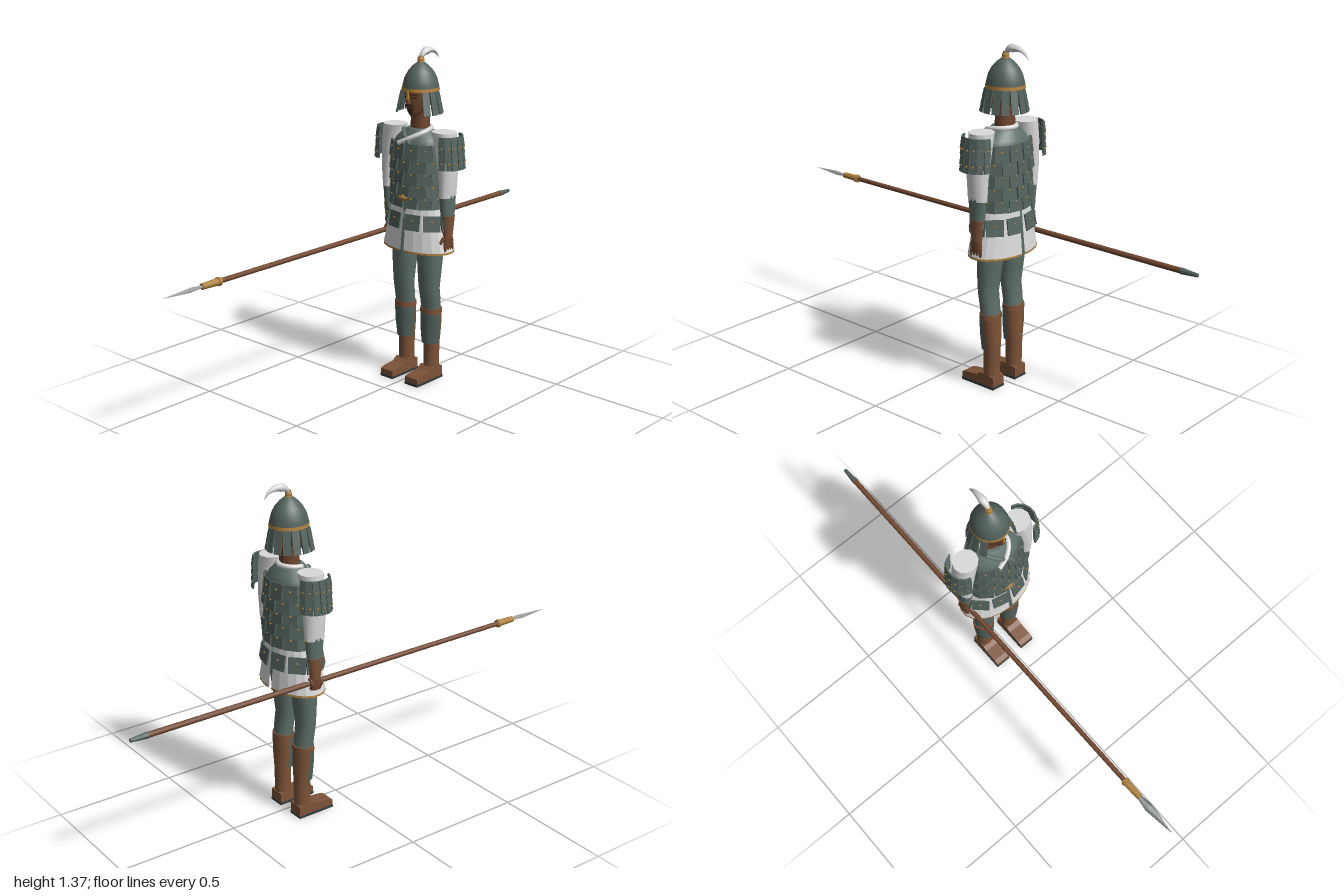
import * as THREE from 'three';

const mat = (name, color, extra = {}) => Object.assign(new THREE.MeshStandardMaterial({ color, ...extra }), { name });
const CZ = -0.21; // body axis

export function createModel() {
  const root = new THREE.Group();
  root.name = 'spearman';
  const steel = mat('steel', 0x53625d, { side: THREE.DoubleSide });
  const fabric = mat('greyGreenFabric', 0x5e6f6a);
  const cloth = mat('whiteCloth', 0xdadada, { side: THREE.DoubleSide });
  const leather = mat('leather', 0x7d5338);
  const skin = mat('skin', 0x6f452d);
  const hair = mat('darkHair', 0x3f281c);
  const wood = mat('wood', 0x724830);
  const gold = mat('brass', 0xb0803c, { side: THREE.DoubleSide });
  const dark = mat('darkSole', 0x353d3d);
  const blade = mat('bladeSteel', 0xa9adad);

  const add = (name, geo, m, x = 0, y = 0, z = 0, parent = root) => {
    const mesh = new THREE.Mesh(geo, m);
    mesh.name = name;
    mesh.position.set(x, y, z);
    parent.add(mesh);
    return mesh;
  };
  const group = (name) => {
    const g = new THREE.Group();
    g.name = name;
    root.add(g);
    return g;
  };

  // Skin over elliptical rings [y, cx, cz, rx, rz], listed from bottom to top
  const loft = (rings, seg = 18, a0 = 0, a1 = Math.PI * 2) => {
    const full = a1 - a0 > 6.28, n = full ? seg : seg + 1, pos = [], idx = [];
    const at = ([y, cx, cz, rx, rz], j) => {
      const a = a0 + (a1 - a0) * j / seg;
      pos.push(cx + rx * Math.sin(a), y, cz + rz * Math.cos(a));
    };
    rings.forEach((r) => { for (let j = 0; j < n; j++) at(r, j); });
    for (let i = 0; i < rings.length - 1; i++) for (let j = 0; j < seg; j++) {
      const a = i * n + j, b = i * n + (j + 1) % n;
      idx.push(a, b, b + n, a, b + n, a + n);
    }
    if (full) [rings[0], rings[rings.length - 1]].forEach((r, top) => {
      const base = pos.length / 3;
      for (let j = 0; j < n; j++) at(r, j);
      pos.push(r[1], r[0], r[2]);
      for (let j = 0; j < n; j++) {
        const a = base + j, b = base + (j + 1) % n;
        idx.push(...(top ? [a, b, base + n] : [b, a, base + n]));
      }
    });
    const g = new THREE.BufferGeometry();
    g.setAttribute('position', new THREE.Float32BufferAttribute(pos, 3));
    g.setIndex(idx);
    g.computeVertexNormals();
    return g;
  };

  // Row of thin overlapping plates around an ellipse, bottoms tilted outward
  const studGeo = new THREE.SphereGeometry(0.0045, 6, 4);
  const plateRow = (parent, angles, y, cx, rx, rz, w, h, tilt, stud) => {
    const geo = new THREE.BoxGeometry(w, h, 0.006);
    angles.forEach((a) => {
      const p = add('plate', geo, steel, cx + rx * Math.sin(a), y, CZ + rz * Math.cos(a), parent);
      p.rotation.order = 'YXZ';
      p.rotation.set(-tilt, Math.atan2(Math.sin(a) / rx, Math.cos(a) / rz), 0);
      if (stud) add('stud', studGeo, gold, 0, h * 0.12, 0.004, p);
    });
  };
  const spread = (n, from, to) => Array.from({ length: n }, (_, i) => from + (to - from) * i / (n - 1));
  const ring = (n, off) => Array.from({ length: n }, (_, i) => (i + off) * Math.PI * 2 / n);
  const tube = (pts, r, n = 20) => new THREE.TubeGeometry(new THREE.CatmullRomCurve3(pts.map((p) => new THREE.Vector3(...p))), n, r, 8);

  // Torso tunic and crossed collar
  add('torso', loft([[0.72, 0, CZ, 0.108, 0.082], [0.8, 0, CZ, 0.106, 0.08], [0.92, 0, CZ, 0.115, 0.086], [0.985, 0, CZ, 0.118, 0.084],
    [1.01, 0, CZ, 0.1, 0.074], [1.035, 0, CZ, 0.074, 0.058], [1.052, 0, CZ, 0.046, 0.045]], 24), fabric);
  add('collar', tube([[-0.035, 0.995, -0.123], [0.015, 1.02, -0.138], [0.052, 1.043, -0.18], [0.04, 1.05, -0.235], [0, 1.052, -0.258],
    [-0.04, 1.05, -0.235], [-0.05, 1.045, -0.19]], 0.01, 32), cloth);
  add('collarUnderlap', tube([[-0.055, 1.043, -0.18], [-0.02, 1.025, -0.142], [0.025, 0.995, -0.124]], 0.009), fabric);

  // Scale armour in five staggered rows
  const armour = group('bodyArmour');
  for (let i = 0; i < 5; i++) {
    plateRow(armour, ring(12, i % 2 ? 0 : 0.5), 0.965 - i * 0.049, 0, 0.122 + (i % 2) * 0.003, 0.09 + (i % 2) * 0.003, 0.058, 0.064, 0.13, true);
  }
  add('buckle', new THREE.OctahedronGeometry(1), gold, 0, 0.78, -0.112).scale.set(0.03, 0.018, 0.01);

  // Split skirt with hem trim and hanging plates
  [[0.05, Math.PI - 0.05], [Math.PI + 0.05, Math.PI * 2 - 0.05]].forEach(([a0, a1]) => {
    const g = loft([[0.563, 0, CZ, 0.166, 0.104], [0.65, 0, CZ, 0.145, 0.095], [0.76, 0, CZ, 0.117, 0.086]], 11, a0, a1).toNonIndexed();
    g.computeVertexNormals();
    add('skirtPanel', g, cloth);
    add('hemTrim', loft([[0.556, 0, CZ, 0.167, 0.105], [0.564, 0, CZ, 0.166, 0.105]], 11, a0, a1), gold);
  });
  plateRow(group('skirtPlates'), ring(10, 0.5), 0.683, 0, 0.145, 0.1, 0.068, 0.064, 0.18, true);

  for (const s of [1, -1]) {
    const side = s > 0 ? 'left' : 'right';
    // Arm: wide sleeve, forearm, bracer
    add(side + 'Sleeve', loft([[0.79, s * 0.149, CZ, 0.027, 0.042], [0.88, s * 0.149, CZ, 0.036, 0.045], [0.97, s * 0.14, CZ, 0.045, 0.048],
      [1.05, s * 0.127, CZ, 0.051, 0.048]], 12), cloth);
    add(side + 'Forearm', loft([[0.68, s * 0.15, CZ, 0.021, 0.03], [0.74, s * 0.149, CZ, 0.025, 0.035], [0.802, s * 0.149, CZ, 0.0275, 0.04]]), fabric);
    add(side + 'Bracer', loft([[0.632, s * 0.152, CZ, 0.018, 0.022], [0.715, s * 0.151, CZ, 0.0245, 0.033]]), leather);
    // Hand: palm, thumb and four fingers
    add(side + 'Palm', loft([[0.585, s * 0.154, CZ, 0.012, 0.024], [0.61, s * 0.155, CZ, 0.015, 0.027], [0.64, s * 0.152, CZ, 0.015, 0.02]], 12), skin);
    const hand = group(side + 'Fingers');
    for (let i = 0; i < 4; i++) {
      const z = CZ - 0.021 + i * 0.014;
      if (s < 0) add('grippingFinger', new THREE.TorusGeometry(0.018, 0.0065, 6, 14), skin, -0.145, 0.609, z, hand);
      else add('finger', tube([[0.155, 0.6, z], [0.156, 0.575, z], [0.147, 0.562, z]], 0.0068, 6), skin, 0, 0, 0, hand);
    }
    add(side + 'Thumb', tube([[s * 0.15, 0.625, CZ + 0.02], [s * 0.142, 0.605, CZ + 0.033], [s * 0.136, 0.587, CZ + 0.03]], 0.0075, 6), skin);

    // Shoulder guard
    const guard = group(side + 'ShoulderGuard');
    for (let i = 0; i < 4; i++) {
      plateRow(guard, spread(7, -1.25, 1.25).map((a) => a + s * Math.PI / 2), 1.02 - i * 0.03, s * 0.147, 0.055 + i * 0.003, 0.064, 0.025, 0.041, 0.15, i % 2 === 1);
    }

    // Leg, boot, strap and greave
    add(side + 'Leg', loft([[0.28, s * 0.068, -0.212, 0.04, 0.036], [0.34, s * 0.069, -0.206, 0.045, 0.036], [0.4, s * 0.068, -0.197, 0.047, 0.037],
      [0.48, s * 0.067, -0.2, 0.053, 0.044], [0.56, s * 0.066, -0.205, 0.058, 0.05], [0.68, s * 0.062, -0.21, 0.058, 0.054]]), fabric);
    add(side + 'Boot', loft([[0.03, s * 0.067, -0.216, 0.032, 0.033], [0.16, s * 0.067, -0.217, 0.034, 0.033], [0.23, s * 0.068, -0.215, 0.042, 0.037],
      [0.31, s * 0.069, -0.213, 0.044, 0.038]]), leather);
    add(side + 'Greave', loft([[0.16, s * 0.067, -0.215, 0.037, 0.042], [0.23, s * 0.068, -0.213, 0.045, 0.044], [0.29, s * 0.069, -0.21, 0.046, 0.042]],
      12, -1.6, 1.6), steel);
    add(side + 'KneeStrap', loft([[0.292, s * 0.069, -0.21, 0.047, 0.042], [0.312, s * 0.069, -0.21, 0.0465, 0.041]]), leather);
    const foot = new THREE.Shape([[-0.25, 0.01], [-0.09, 0.01], [-0.09, 0.033], [-0.11, 0.039], [-0.165, 0.044], [-0.185, 0.06], [-0.25, 0.05]]
      .map((p) => new THREE.Vector2(...p)));
    const footGeo = new THREE.ExtrudeGeometry(foot, { depth: 0.064, bevelEnabled: false }).rotateY(-Math.PI / 2);
    add(side + 'Foot', footGeo, leather, s * 0.067 + 0.032);
    add(side + 'Sole', new THREE.BoxGeometry(0.067, 0.01, 0.163), dark, s * 0.067, 0.005, -0.17);
  }

  // Neck, head and face
  add('neck', loft([[1.03, 0, -0.215, 0.042, 0.038], [1.13, 0, -0.215, 0.038, 0.036]]), skin);
  add('head', loft([[1.105, 0, -0.178, 0.018, 0.02], [1.12, 0, -0.19, 0.036, 0.037], [1.145, 0, -0.203, 0.048, 0.052],
    [1.18, 0, -0.21, 0.055, 0.062], [1.22, 0, -0.212, 0.056, 0.062]], 20), skin);
  const nose = add('nose', new THREE.ConeGeometry(0.011, 0.036, 4), skin, 0, 1.172, -0.146);
  nose.rotation.x = -0.2;
  add('noseGuard', new THREE.BoxGeometry(0.008, 0.036, 0.007), gold, 0, 1.188, -0.136);
  add('mouth', new THREE.BoxGeometry(0.022, 0.004, 0.006), hair, 0, 1.137, -0.153);
  const beard = add('beard', new THREE.ConeGeometry(0.017, 0.034, 6), hair, 0, 1.116, -0.157);
  beard.rotation.x = Math.PI;
  for (const s of [1, -1]) {
    add('eye', new THREE.BoxGeometry(0.016, 0.006, 0.006), hair, s * 0.022, 1.177, -0.154).rotation.y = s * 0.4;
    add('brow', new THREE.BoxGeometry(0.022, 0.004, 0.006), hair, s * 0.023, 1.189, -0.153).rotation.y = s * 0.4;
    add('moustache', new THREE.BoxGeometry(0.02, 0.005, 0.006), hair, s * 0.01, 1.147, -0.15).rotation.z = -s * 0.35;
  }

  // Pointed helmet, brim band, finial
  const profile = [[0.071, 1.2], [0.07, 1.222], [0.063, 1.25], [0.05, 1.275], [0.032, 1.296], [0.012, 1.312], [0.001, 1.314]].map((p) => new THREE.Vector2(...p));
  add('helmet', new THREE.LatheGeometry(profile, 24), steel, 0, 0, -0.215).scale.z = 1.06;
  add('helmetBand', new THREE.CylinderGeometry(0.0725, 0.074, 0.013, 24, 1, true), gold, 0, 1.207, -0.215).scale.z = 1.06;
  add('finial', new THREE.CylinderGeometry(0.009, 0.015, 0.026, 10), gold, 0, 1.322, -0.215);
  add('finialKnob', new THREE.SphereGeometry(0.014, 10, 8), gold, 0, 1.32, -0.215);

  // Plume: tube tapered towards its tip
  const path = new THREE.CatmullRomCurve3([[0, 1.325, -0.215], [0, 1.345, -0.232], [0, 1.352, -0.265], [0, 1.342, -0.3], [0, 1.315, -0.325]].map((p) => new THREE.Vector3(...p)));
  const plume = new THREE.TubeGeometry(path, 16, 0.018, 8), v = new THREE.Vector3();
  for (let i = 0; i < plume.attributes.position.count; i++) {
    const t = Math.floor(i / 9) / 16, c = path.getPointAt(t);
    v.fromBufferAttribute(plume.attributes.position, i).sub(c).multiplyScalar(t < 0.3 ? 0.4 + t * 1.7 : 0.92 * (1 - t) / 0.7 + 0.03).add(c);
    plume.attributes.position.setXYZ(i, v.x, v.y, v.z);
  }
  plume.computeVertexNormals();
  add('plume', plume, cloth);

  // Hanging neck guard, open at the face
  const neckGuard = group('neckGuard');
  for (let i = 0; i < 3; i++) {
    plateRow(neckGuard, spread(11, 1.05, Math.PI * 2 - 1.05), 1.182 - i * 0.027, 0, 0.074 + i * 0.006, 0.079 + i * 0.005, 0.029, 0.036, 0.25, false);
  }

  // Spear lying along z
  const spear = group('spear');
  spear.position.set(-0.143, 0.609, 0);
  const rod = (name, r0, r1, z0, z1, m, seg = 12) =>
    add(name, new THREE.CylinderGeometry(r1, r0, z1 - z0, seg).rotateX(Math.PI / 2), m, 0, 0, (z0 + z1) / 2, spear);
  rod('shaft', 0.011, 0.0095, -0.94, 0.76, wood);
  rod('buttCap', 0.007, 0.0125, -1, -0.93, steel);
  rod('socket', 0.0145, 0.012, 0.73, 0.82, gold);
  rod('socketRing', 0.017, 0.017, 0.735, 0.745, gold);
  rod('bladeBase', 0.009, 0.018, 0.815, 0.87, blade, 4).scale.y = 0.55;
  rod('bladePoint', 0.018, 0.0005, 0.87, 1, blade, 4).scale.y = 0.55;
  return root;
}
